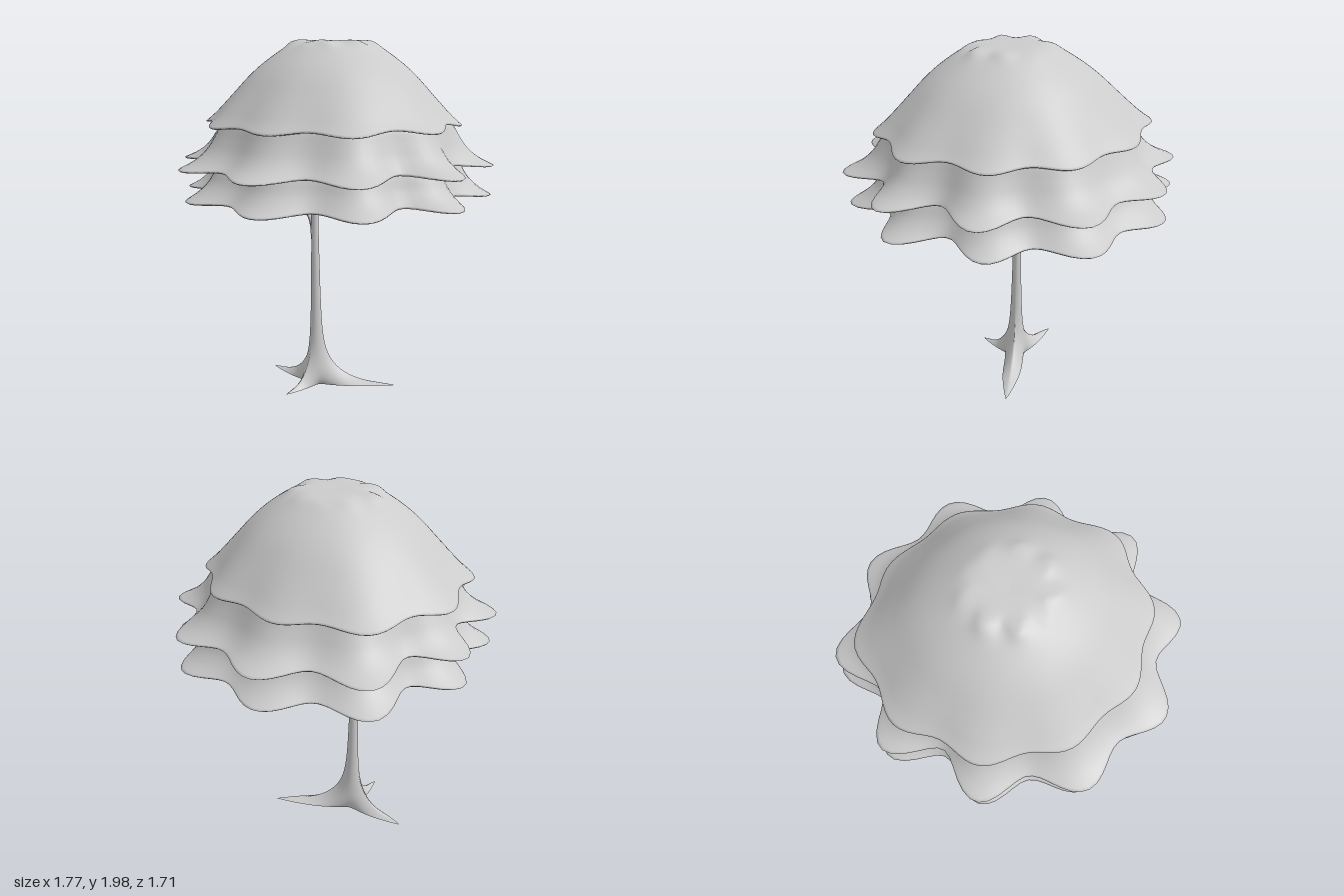
import * as THREE from 'three';

const material = new THREE.MeshStandardMaterial({ color: 0xcccccc, side: THREE.DoubleSide });

function addMesh(group, name, geometry) {
  const mesh = new THREE.Mesh(geometry, material);
  mesh.name = name;
  group.add(mesh);
}

// Smooth surface of closed rings, top ring first; point(row, angle) returns [x, y, z].
function ringSurface(rows, cols, point) {
  const positions = [], indices = [];
  for (let i = 0; i < rows; i++) {
    for (let j = 0; j < cols; j++) {
      positions.push(...point(i, (j / cols) * Math.PI * 2));
      if (i === rows - 1) continue;
      const k = (j + 1) % cols;
      const a = i * cols + j, b = i * cols + k;
      indices.push(a, b, a + cols, b, b + cols, a + cols);
    }
  }
  const geometry = new THREE.BufferGeometry();
  geometry.setAttribute('position', new THREE.Float32BufferAttribute(positions, 3));
  geometry.setIndex(indices);
  geometry.computeVertexNormals();
  return geometry;
}

const curve2 = (points) => new THREE.SplineCurve(points.map(([x, y]) => new THREE.Vector2(x, y)));

// 1 in the given direction, fading to 0 around it
const towards = (angle, direction) => Math.pow(Math.max(0, Math.cos(angle - direction)), 8);

// Dome of leaves with a ten-lobed rim: outer skin down to the rim, pleated conical underside back up.
function canopyLayer({ profile, amp, cx, cz, phase, stretch = 0, crumple = 0 }) {
  const steps = 32;
  const rings = curve2(profile).getPoints(steps);
  const rim = rings[steps];
  return ringSurface(2 * steps + 2, 120, (i, angle) => {
    const inner = i > steps;
    const ring = rings[inner ? 2 * steps + 1 - i : i];
    const t = Math.max(0, ring.x / rim.x);
    const wave = Math.cos(10 * angle + phase);
    // gaps at the front and back are shallower than those at the sides
    const lobe = wave - 0.25 * Math.cos(2 * angle) * (1 - wave);
    // fuller at the back right, flatter at the back left
    const skew = 0.05 * towards(angle, 3.75) - 0.03 * towards(angle, -0.62);
    let r = ring.x + amp * Math.pow(t, 6) * lobe + t * t * (skew + stretch * Math.cos(2 * angle));
    if (inner) {
      const y = rim.y - 0.006 + 0.39 * (1 - t) - 0.04 * t * (1 - t) * (1 + wave);
      return [cx + 0.99 * r * Math.cos(angle), y - 0.01 * Math.pow(t, 6) * lobe, cz + 0.99 * r * Math.sin(angle)];
    }
    // small folds around the crown, strongest towards the front
    const fold = crumple * (0.65 + 0.35 * Math.sin(angle)) * Math.exp(-Math.pow((ring.x - 0.21) / 0.045, 2));
    r += fold * Math.sin(9 * angle + 0.6);
    const y = ring.y - 0.01 * Math.pow(t, 6) * lobe + fold * 0.5 * Math.sin(7 * angle);
    return [cx + r * Math.cos(angle), y, cz + r * Math.sin(angle)];
  });
}

// Round branch along a smooth path, thinning from r0 to r1.
function branch(points, r0, r1) {
  const path = new THREE.CatmullRomCurve3(points.map((p) => new THREE.Vector3(...p)));
  const segments = 20, sides = 10;
  const geometry = new THREE.TubeGeometry(path, segments, 1, sides);
  const pos = geometry.attributes.position;
  const v = new THREE.Vector3();
  for (let i = 0; i < pos.count; i++) {
    const t = Math.floor(i / (sides + 1)) / segments;
    const centre = path.getPointAt(t);
    v.fromBufferAttribute(pos, i).sub(centre).multiplyScalar(r0 + (r1 - r0) * Math.pow(t, 0.7)).add(centre);
    pos.setXYZ(i, v.x, v.y, v.z);
  }
  geometry.computeVertexNormals();
  return geometry;
}

// Roots, from tips given as [x, z]
const base = [-0.12, 0.05];
const roots = [[0.25, -0.24], [-0.475, 0.09], [-0.09, 0.315]].map(([x, z]) => ({
  angle: Math.atan2(z - base[1], x - base[0]),
  length: Math.hypot(x - base[0], z - base[1]) - 0.045,
}));

// Trunk radius falls with height; near the ground it runs out into pointed roots
const foot = 0.008;
function trunkPoint(y, angle) {
  let r = 0.012 + 0.034 * Math.exp(-y / 0.7);
  const h = y - foot;
  const reach = 0.65 * Math.exp(-h / 0.08) + 0.35 * Math.exp(-h / 0.015);
  const width = 0.27 + 0.5 * (1 - Math.exp(-h / 0.08));
  for (const root of roots) {
    const d = root.angle - angle;
    const away = Math.abs(Math.atan2(Math.sin(d), Math.cos(d)));
    r += root.length * reach * Math.exp(-away / width);
  }
  const lean = -0.01 * Math.min(1, y);
  return [base[0] + lean + r * Math.cos(angle), y, base[1] + r * Math.sin(angle)];
}

export function createModel() {
  const model = new THREE.Group();
  model.name = 'tree';

  // Canopy
  const canopy = new THREE.Group();
  canopy.name = 'canopy';
  model.add(canopy);
  addMesh(canopy, 'topCanopyLayer', canopyLayer({
    profile: [[0, 1.988], [0.1, 1.99], [0.2, 1.982], [0.28, 1.94], [0.38, 1.87], [0.46, 1.8], [0.54, 1.715], [0.6, 1.65], [0.65, 1.597], [0.695, 1.556]],
    amp: 0.026, cx: -0.025, cz: 0, phase: 0, stretch: 0.03, crumple: 0.018,
  }));
  addMesh(canopy, 'middleCanopyLayer', canopyLayer({
    profile: [[0, 1.84], [0.2, 1.83], [0.4, 1.76], [0.55, 1.65], [0.62, 1.575], [0.66, 1.5], [0.7, 1.435], [0.75, 1.385], [0.81, 1.348]],
    amp: 0.075, cx: 0, cz: 0, phase: -0.1,
  }));
  addMesh(canopy, 'lowerCanopyLayer', canopyLayer({
    profile: [[0, 1.66], [0.2, 1.65], [0.4, 1.58], [0.55, 1.48], [0.63, 1.4], [0.67, 1.335], [0.705, 1.27], [0.75, 1.22], [0.8, 1.183]],
    amp: 0.07, cx: -0.005, cz: -0.015, phase: 0.15,
  }));

  // Trunk flowing into three roots, rings closer together near the ground
  const rows = 48, sides = 180;
  addMesh(model, 'trunkAndRoots', ringSurface(rows, sides, (i, angle) =>
    trunkPoint(foot + 1.27 * Math.pow(1 - i / (rows - 1), 2.6), angle)));

  // Hollow underside of the roots
  addMesh(model, 'rootUnderside', ringSurface(2, sides, (i, angle) =>
    (i === 0 ? trunkPoint(foot, angle) : [base[0], 0.06, base[1]])));

  // Branches
  addMesh(model, 'sideBranch', branch(
    [[-0.13, 0.88, 0.05], [-0.145, 0.96, 0.052], [-0.175, 1.02, 0.06], [-0.27, 1.06, 0.08], [-0.38, 1.107, 0.11]], 0.024, 0.003));
  const fork = [-0.13, 1.25, 0.05];
  addMesh(model, 'upperBranch', branch([fork, [-0.12, 1.34, 0.06], [-0.07, 1.44, 0.09], [-0.03, 1.53, 0.12]], 0.016, 0.006));
  addMesh(model, 'frontBranch', branch([fork, [-0.09, 1.31, 0.08], [-0.03, 1.36, 0.12], [0.01, 1.41, 0.17]], 0.014, 0.004));
  addMesh(model, 'backBranch', branch([[-0.115, 1.35, 0.065], [-0.13, 1.4, 0.04], [-0.14, 1.48, 0.02]], 0.009, 0.003));

  return model;
}
